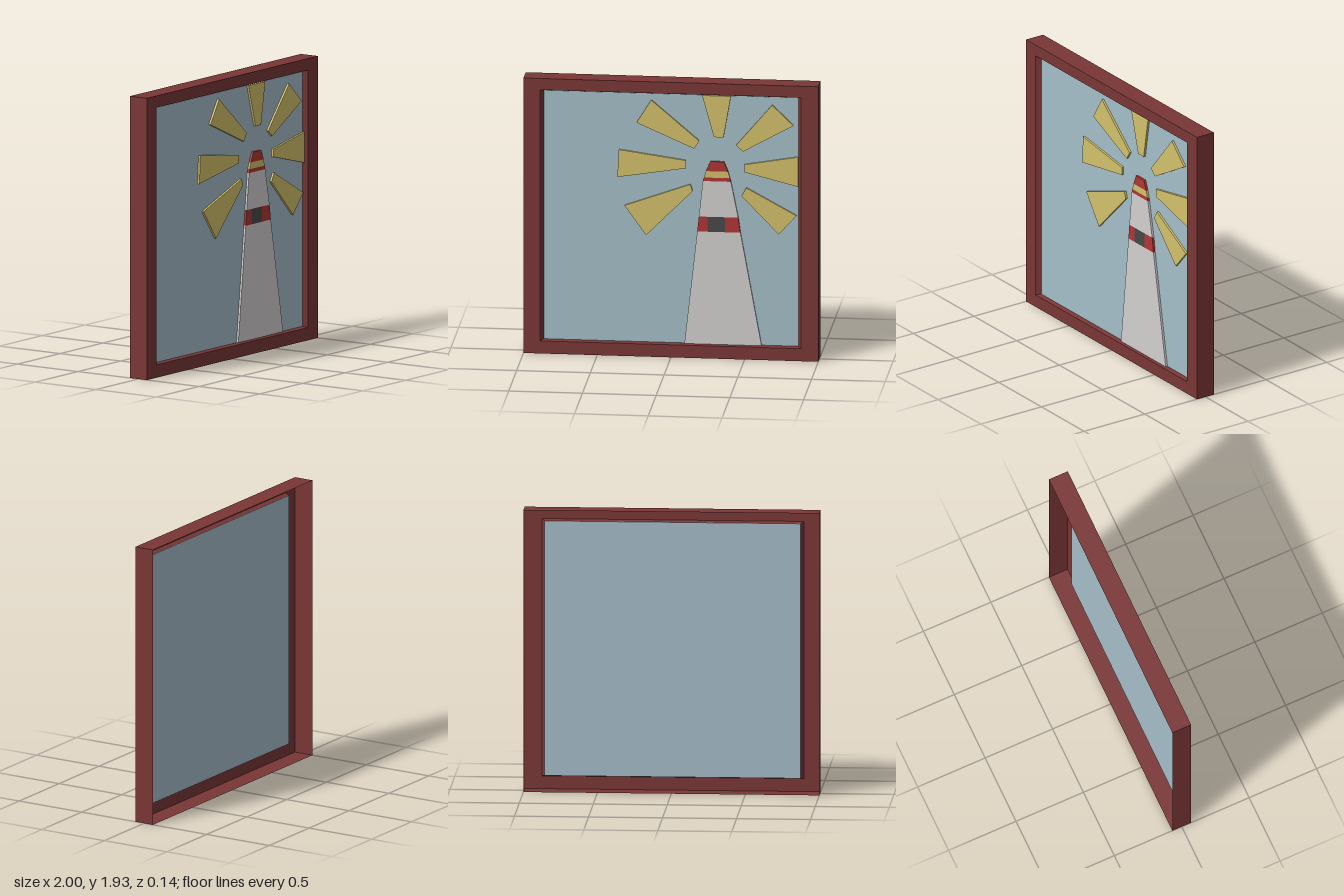
import * as THREE from 'three';

const paint = (name, color) => {
  const m = new THREE.MeshStandardMaterial({ color });
  m.name = name;
  return m;
};

const PANEL_Z = 0.04;    // front of the picture panel
const RELIEF = 0.015;    // how far the picture stands out

export function createModel() {
  const wood = paint('frameRedBrown', 0x7a3636);
  wood.side = THREE.DoubleSide;
  const blue = paint('skyBlue', 0xa6bfca);
  const yellow = paint('lightYellow', 0xd4c26b);
  const white = paint('towerWhite', 0xd4d1d0);
  const red = paint('bandRed', 0xb23535);
  const dark = paint('windowDark', 0x484848);

  const model = new THREE.Group();
  model.name = 'framedLighthousePicture';
  const add = (parent, name, geometry, material) => {
    const mesh = new THREE.Mesh(geometry, material);
    mesh.name = name;
    parent.add(mesh);
    return mesh;
  };

  // Frame: open-backed shell lofted through rectangles, outer back to inner reveal
  const rings = [
    [-1, 1, 0, 1.93, -0.07],
    [-1, 1, 0, 1.93, 0.07],
    [-0.888, 0.882, 0.088, 1.85, 0.07],
    [-0.865, 0.862, 0.096, 1.84, PANEL_Z - 0.003],
  ].map(([l, r, b, t, z]) => [[l, b, z], [r, b, z], [r, t, z], [l, t, z]]);
  const points = [];
  for (let i = 0; i < rings.length - 1; i++) {
    for (let j = 0; j < 4; j++) {
      const k = (j + 1) % 4;
      const [a, b, c, d] = [rings[i][j], rings[i][k], rings[i + 1][k], rings[i + 1][j]];
      points.push(...a, ...b, ...c, ...a, ...c, ...d);
    }
  }
  const shell = new THREE.BufferGeometry();
  shell.setAttribute('position', new THREE.Float32BufferAttribute(points, 3));
  shell.computeVertexNormals();
  add(model, 'frame', shell, wood);

  // Sky panel
  const panel = add(model, 'skyPanel', new THREE.BoxGeometry(1.727, 1.744, 0.006), blue);
  panel.position.set(-0.0015, 0.968, PANEL_Z - 0.003);

  // Flat raised shape from corner points
  const relief = (parent, name, corners, material) => {
    const shape = new THREE.Shape(corners.map(([x, y]) => new THREE.Vector2(x, y)));
    const geometry = new THREE.ExtrudeGeometry(shape, { depth: RELIEF, bevelEnabled: false });
    add(parent, name, geometry, material).position.z = PANEL_Z;
  };

  // Light rays fanned around the lamp
  const rays = new THREE.Group();
  rays.name = 'lightRays';
  model.add(rays);
  [
    [[0.21, 1.84], [0.405, 1.84], [0.355, 1.55], [0.29, 1.55]],
    [[-0.135, 1.797], [-0.235, 1.636], [0.155, 1.465], [0.19, 1.52]],
    [[-0.355, 1.443], [-0.365, 1.25], [0.1, 1.325], [0.1, 1.38]],
    [[-0.317, 1.052], [-0.17, 0.848], [0.145, 1.165], [0.13, 1.213]],
    [[0.685, 1.786], [0.83, 1.646], [0.487, 1.454], [0.44, 1.497]],
    [[0.862, 1.427], [0.862, 1.218], [0.498, 1.31], [0.498, 1.363]],
    [[0.85, 1.015], [0.73, 0.88], [0.477, 1.143], [0.51, 1.2]],
  ].forEach((corners, i) => relief(rays, `ray${i + 1}`, corners, yellow));

  // Tower: stacked tapering slices, each [name, colour, bottom, top] as [left, right, y]
  const tower = new THREE.Group();
  tower.name = 'lighthouse';
  model.add(tower);
  [
    ['lowerTower', white, [0.09, 0.613, 0.096], [0.177, 0.47, 0.885]],
    ['bandLeft', red, [0.177, 0.248, 0.885], [0.188, 0.248, 0.99]],
    ['window', dark, [0.248, 0.365, 0.885], [0.248, 0.365, 0.99]],
    ['bandRight', red, [0.365, 0.47, 0.885], [0.365, 0.455, 0.99]],
    ['upperTower', white, [0.188, 0.455, 0.99], [0.215, 0.405, 1.24]],
    ['lampBase', red, [0.215, 0.405, 1.24], [0.222, 0.398, 1.265]],
    ['lamp', yellow, [0.222, 0.398, 1.265], [0.236, 0.386, 1.31]],
    ['roof', red, [0.236, 0.386, 1.31], [0.265, 0.358, 1.378]],
  ].forEach(([name, material, [bl, br, by], [tl, tr, ty]]) =>
    relief(tower, name, [[bl, by], [br, by], [tr, ty], [tl, ty]], material));

  return model;
}
